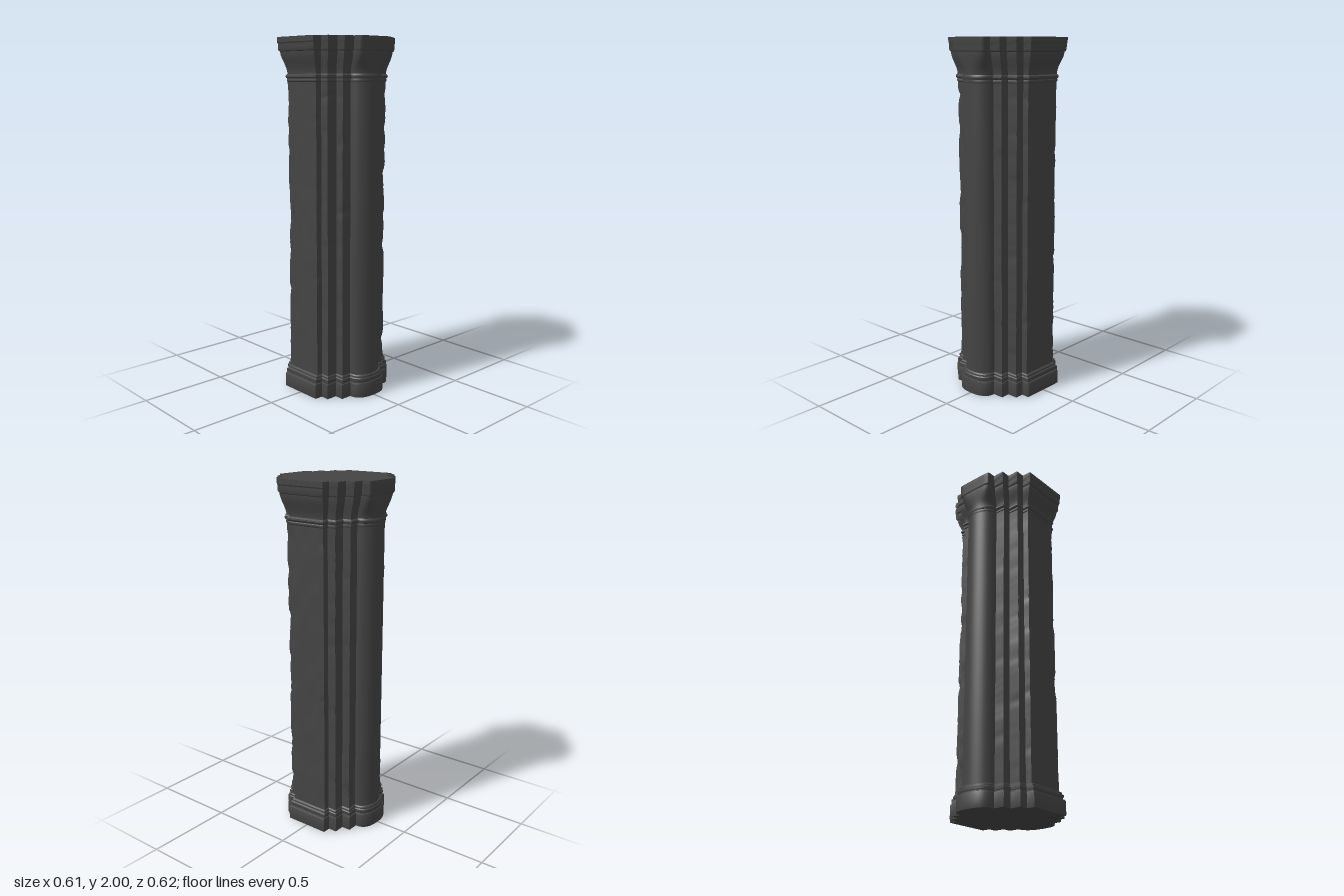
import * as THREE from 'three';
import { toCreasedNormals } from 'three/addons/utils/BufferGeometryUtils.js';

// Stepped plan: x and z of each step from the side panel round to the front half-column
const SHAFT = { X: [0.258, 0.222, 0.158, 0.1], Z: [0.115, 0.165, 0.215, 0.295] };
const FOOT = { X: [0.287, 0.24, 0.178, 0.115], Z: [0.132, 0.182, 0.235, 0.312] };
const HEAD = { X: [0.306, 0.252, 0.185, 0.117], Z: [0.15, 0.205, 0.258, 0.312] };
const PANEL = 4, LOBE = 10;

// Seeded smooth noise in 0..1 along the height
function hash(a, b) {
  const s = Math.sin(a * 127.1 + b * 311.7) * 43758.5453;
  return s - Math.floor(s);
}
function noise(seed, y) {
  const i = Math.floor(y), f = y - i;
  return THREE.MathUtils.lerp(hash(seed, i), hash(seed, i + 1), f * f * (3 - 2 * f));
}

// One quarter of the plan; n is how square the half-column is (2 = round)
function quarter(target, t, n) {
  const mix = (key) => SHAFT[key].map((v, i) => THREE.MathUtils.lerp(v, target[key][i], t));
  const X = mix('X'), Z = mix('Z'), pts = [];
  for (let i = 0; i <= PANEL; i++) pts.push([X[0], Z[0] * i / PANEL]);
  pts.push([X[1], Z[0]], [X[1], Z[1]], [X[2], Z[1]], [X[2], Z[2]]);
  for (let i = 0; i <= LOBE; i++) {
    const a = i / LOBE * Math.PI / 2;
    pts.push([X[3] * Math.max(0, Math.cos(a)) ** (2 / n), Z[2] + (Z[3] - Z[2]) * Math.sin(a) ** (2 / n)]);
  }
  return pts;
}

// Chipped arrises and uneven side panels; the half-columns stay smooth
function wear(x, z, j, q, y) {
  const seed = j + q * 31, fade = Math.min(1, (y - 0.12) * 12, (1.77 - y) * 12);
  if (j < PANEL) {
    const side = j === 0 ? (q === 0 || q === 3 ? 7 : 8) : seed;
    return [x + fade * (noise(side, y * 10) - 0.5) * 0.005, z];
  }
  if (j === 4 || j === 6 || j === 8) {
    const chip = fade * (noise(seed, y * 16) ** 3 * 0.008 + noise(seed + 9, y * 45) * 0.002);
    return [x - chip, z - chip];
  }
  return [x, z];
}

// Mirror the quarter into a full ring
function ring({ y, t = 0, n = 2 }, target, worn) {
  const pts = [];
  [[1, 1], [-1, 1], [-1, -1], [1, -1]].forEach(([sx, sz], q) => {
    const part = quarter(target, t, n).map(([x, z], j) => {
      const [a, b] = worn ? wear(x, z, j, q, y) : [x, z];
      return [a * sx, y, b * sz];
    });
    if (q % 2) part.reverse();
    pts.push(...part.slice(0, -1));
  });
  return pts;
}

// Skin a stack of rings and close both ends
function loft(name, levels, target, material, worn = false) {
  const rings = levels.map((l) => ring(l, target, worn));
  const m = rings[0].length, last = rings.length - 1, pos = rings.flat(2), idx = [];
  pos.push(0, levels[0].y, 0, 0, levels[last].y, 0);
  const bottom = m * rings.length, top = bottom + 1;
  for (let i = 0; i < m; i++) {
    const k = (i + 1) % m;
    for (let r = 0; r < last; r++) {
      const a = r * m + i, b = r * m + k;
      idx.push(a, a + m, b, b, a + m, b + m);
    }
    idx.push(bottom, i, k, top, last * m + k, last * m + i);
  }
  const geo = new THREE.BufferGeometry();
  geo.setAttribute('position', new THREE.Float32BufferAttribute(pos, 3));
  geo.setIndex(idx);
  const mesh = new THREE.Mesh(toCreasedNormals(geo, 0.5), material);
  mesh.name = name;
  return mesh;
}

export function createModel() {
  const group = new THREE.Group();
  group.name = 'steppedPier';
  const stone = new THREE.MeshStandardMaterial({ color: 0x444444 });
  const rows = (list, n) => list.map(([y, t, k = n]) => ({ y, t, n: k }));

  // Plinth with two small mouldings above it
  group.add(loft('base', rows([
    [0, 0.94], [0.006, 1], [0.075, 1], [0.083, 0.85], [0.085, 0.6], [0.092, 0.6], [0.095, 0.7],
    [0.108, 0.7], [0.113, 0.45], [0.122, 0.4], [0.128, 0.1],
  ], 2.5), FOOT, stone));

  // Weathered shaft
  const shaft = [];
  for (let i = 0; i <= 100; i++) shaft.push({ y: 0.12 + 1.65 * i / 100 });
  group.add(loft('shaft', shaft, SHAFT, stone, true));

  // Neck rings below the capital
  group.add(loft('neckRings', rows([
    [1.76, 0], [1.765, 0.08], [1.774, 0.08], [1.778, 0.03], [1.782, 0.14], [1.788, 0.22],
    [1.796, 0.2], [1.802, 0.06], [1.804, 0],
  ], 2), HEAD, stone));

  // Bell that flares, straightens under the slab and turns from round to square
  const bell = [];
  for (let i = 0; i <= 12; i++) {
    const u = i / 12;
    bell.push([1.8 + 0.125 * u, 0.72 * u * u * (3 - 2 * u), 2 + 4 * u * u]);
  }
  group.add(loft('capital', rows(bell, 2), HEAD, stone));

  // Top slab with a rounded lower edge
  group.add(loft('abacus', rows([
    [1.922, 0.7], [1.926, 0.84], [1.935, 0.92], [1.965, 0.92], [1.972, 1], [2, 1],
  ], 9), HEAD, stone));
  return group;
}
